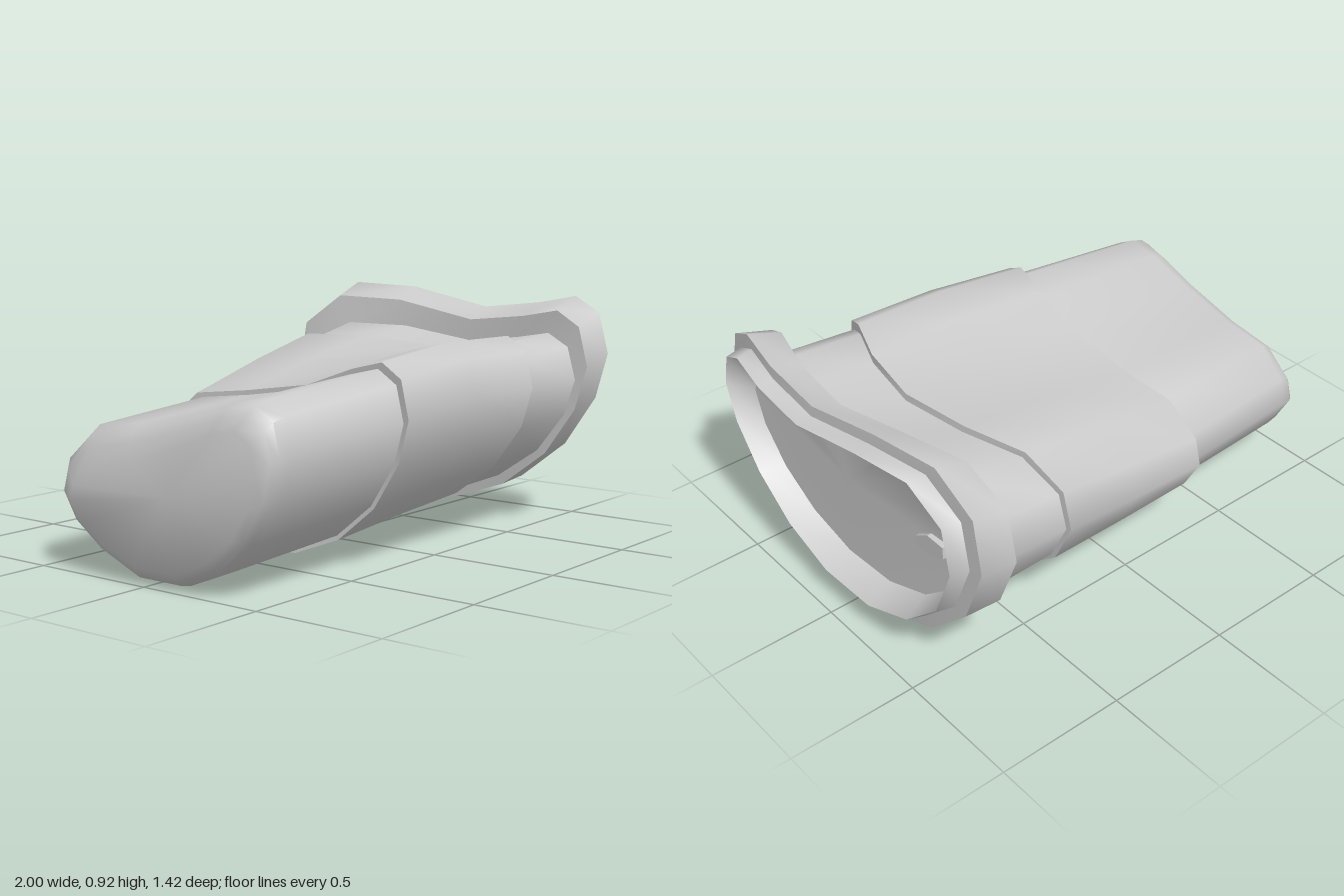
import * as THREE from 'three';
import { toCreasedNormals } from 'three/addons/utils/BufferGeometryUtils.js';

// Kidney outline as [z, y, y without the dip, forward bow of the edge, share of the slant]
const OUTLINE = [
  [0.71, 0.68, 0.68, 0, 0], [0.665, 0.84, 0.84, 0.1, 0], [0.55, 0.9, 0.9, 0.4, 0], [0.37, 0.865, 0.91, 0.82, 0.15],
  [0.11, 0.835, 0.915, 1, 0.5], [-0.24, 0.905, 0.915, 0.9, 0.85], [-0.52, 0.915, 0.915, 0.42, 1],
  [-0.68, 0.785, 0.785, 0.1, 1], [-0.71, 0.57, 0.57, 0, 0.6], [-0.62, 0.33, 0.33, 0, 0.2],
  [-0.44, 0.155, 0.155, 0.1, 0], [-0.2, 0.06, 0.06, 0.2, 0], [0.08, 0.06, 0.06, 0.2, 0], [0.33, 0.15, 0.15, 0.1, 0],
  [0.53, 0.305, 0.305, 0, 0], [0.66, 0.5, 0.5, 0, 0],
];
const N = OUTLINE.length;

// One cross-section: the outline fitted to the given z and y limits
function ring([x, z0, z1, y0, y1, dip, bow, slant = 0, tilt = 0]) {
  return OUTLINE.map(([z, y, flat, forward, drop]) => {
    const v = (flat + (y - flat) * dip - 0.06) / 0.855;
    const pz = z0 + (z1 - z0) * (z + 0.71) / 1.42;
    return [x + bow * forward + tilt * pz, y0 + (y1 - y0) * v - slant * drop, pz];
  });
}

// Skin over a run of cross-sections, optionally closed at either end
function loft(name, rows, material, capStart, capEnd) {
  const rings = rows.map(ring);
  const positions = rings.flat(2);
  const index = [];
  for (let i = 0; i < rings.length - 1; i++) {
    for (let j = 0; j < N; j++) {
      const k = (j + 1) % N, a = i * N, b = a + N;
      index.push(a + j, b + j, a + k, a + k, b + j, b + k);
    }
  }
  const cap = (i, flip) => {
    const c = positions.length / 3;
    for (let d = 0; d < 3; d++) positions.push(rings[i].reduce((s, p) => s + p[d], 0) / N);
    for (let j = 0; j < N; j++) {
      const a = i * N + j, b = i * N + (j + 1) % N;
      index.push(c, flip ? b : a, flip ? a : b);
    }
  };
  if (capStart) cap(0, false);
  if (capEnd) cap(rings.length - 1, true);
  const geometry = new THREE.BufferGeometry();
  geometry.setAttribute('position', new THREE.Float32BufferAttribute(positions, 3));
  geometry.setIndex(index);
  const mesh = new THREE.Mesh(toCreasedNormals(geometry, 0.93), material);
  mesh.name = name;
  return mesh;
}

export function createModel() {
  const group = new THREE.Group();
  group.name = 'kidneyCup';
  const material = new THREE.MeshStandardMaterial({ color: 0xcccccc, side: THREE.DoubleSide });

  // Rows: x, z min, z max, y min, y max, dip of the top, bow of the edge, slant to the back, tilt
  const tipEnd = [-0.325, -0.505, 0.59, 0.027, 0.725, 0.35, 0.045, 0.18];
  const neckStart = [0.4, -0.605, 0.64, 0.09, 0.75, 0.8, 0.135, 0.05, 0.015];
  const neckEnd = [0.71, -0.63, 0.655, 0.1, 0.772, 0.95, 0.1, 0.02, 0.03];

  // Closed, rounded far end
  group.add(loft('closedEnd', [
    [-1, -0.36, 0.5, 0.06, 0.58, 0, 0.025, 0.19],
    [-0.975, -0.41, 0.54, 0.03, 0.63, 0, 0.02, 0.18],
    [-0.94, -0.435, 0.555, 0.01, 0.66, 0, 0.01, 0.17],
    [-0.89, -0.445, 0.56, 0, 0.675, 0.05, 0, 0.16],
    tipEnd,
  ], material, true, false));

  // Wider sleeve with a step at each end
  group.add(loft('sleeve', [
    tipEnd,
    [-0.33, -0.54, 0.615, 0.008, 0.75, 0.4, 0.05, 0.19],
    [0.05, -0.59, 0.635, 0.04, 0.79, 0.6, 0.08, 0.14],
    [0.396, -0.625, 0.66, 0.07, 0.785, 0.8, 0.135, 0.06, 0.015],
    neckStart,
  ], material));

  // Neck between sleeve and rim
  group.add(loft('neck', [neckStart, neckEnd], material));

  // Flange, tapered lip, and shallow tilted basin inside it
  group.add(loft('rim', [
    neckEnd,
    [0.712, -0.7, 0.705, 0.05, 0.865, 1, 0.1, 0, 0.03],
    [0.867, -0.71, 0.71, 0.06, 0.915, 1, 0.06, 0, 0.03],
    [0.872, -0.655, 0.67, 0.105, 0.866, 1, 0.06, 0, 0.03],
    [0.942, -0.64, 0.655, 0.125, 0.86, 1, 0.055, 0, 0.03],
    [0.835, -0.575, 0.615, 0.155, 0.77, 0.8, 0.015, 0.015, 0.05],
  ], material, false, true));

  // Small raised tab on the basin floor
  const tabShape = new THREE.Shape([[0.33, 0.49], [0.4, 0.535], [0.485, 0.535], [0.485, 0.485], [0.41, 0.45], [0.34, 0.455]]
    .map(([u, v]) => new THREE.Vector2(u, v)));
  const tab = new THREE.Mesh(new THREE.ExtrudeGeometry(tabShape, { depth: 0.03, bevelEnabled: false }), material);
  tab.name = 'floorTab';
  tab.rotation.y = Math.PI / 2;
  tab.position.x = 0.805;
  group.add(tab);

  return group;
}
